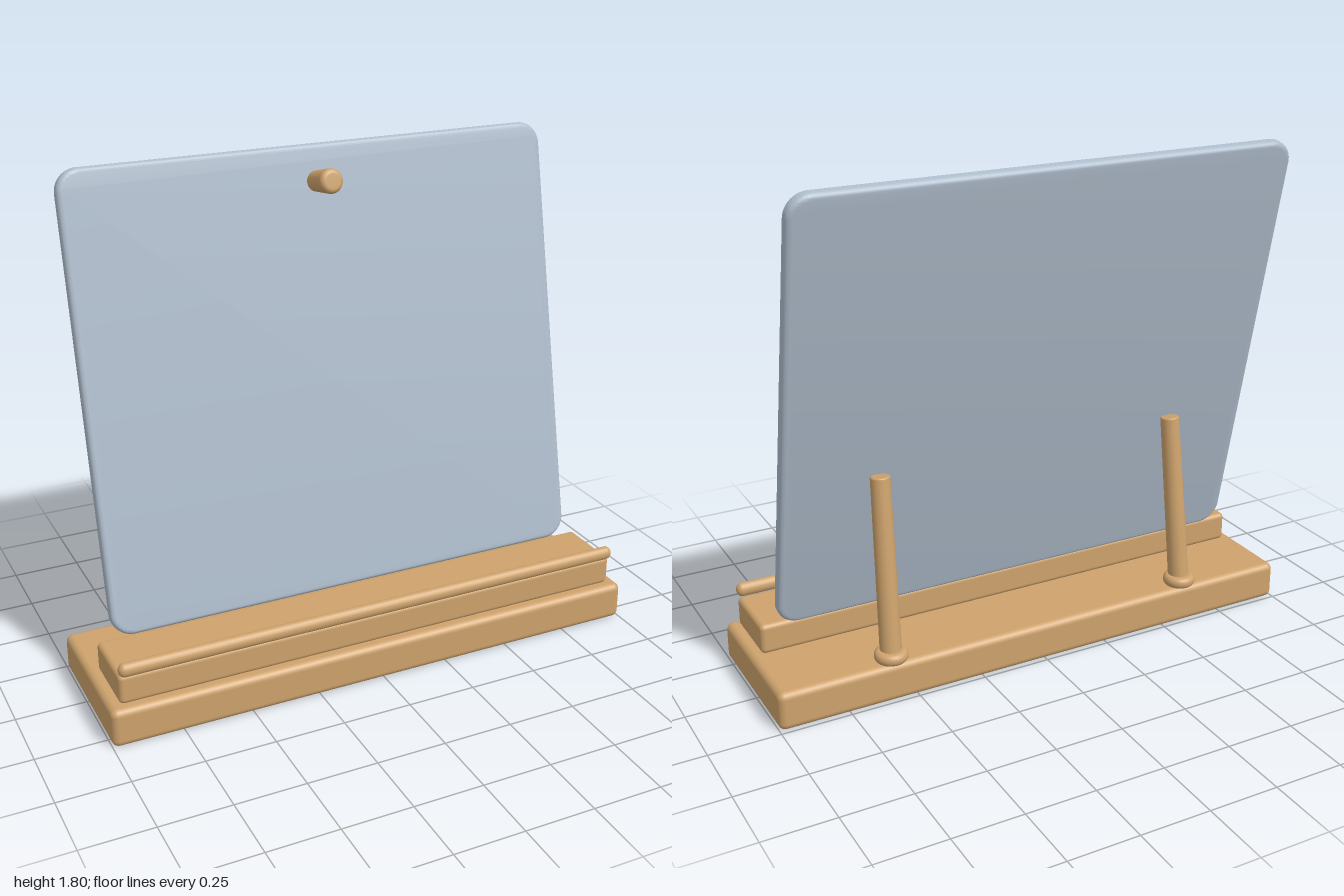
import * as THREE from 'three';
import { toCreasedNormals } from 'three/addons/utils/BufferGeometryUtils.js';
import { RoundedBoxGeometry } from 'three/addons/geometries/RoundedBoxGeometry.js';

const TILT = 0.209; // backward lean of the panel

export function createModel() {
  const wood = new THREE.MeshStandardMaterial({ name: 'wood', color: 0xcda26c });
  const slate = new THREE.MeshStandardMaterial({ name: 'slate', color: 0xaebccb });
  const model = new THREE.Group();
  model.name = 'boardStand';

  const add = (name, geometry, material, x, y, z, parent = model) => {
    const mesh = new THREE.Mesh(geometry, material);
    mesh.name = name;
    mesh.position.set(x, y, z);
    parent.add(mesh);
    return mesh;
  };

  // Solid of revolution with rounded rims: radius r0 at the bottom, r1 at the top
  const turned = (r0, r1, h, b0, b1) => {
    const pts = [new THREE.Vector2(0, 0)];
    for (let i = 0; i <= 5; i++) {
      const a = (i / 5) * Math.PI / 2;
      pts.push(new THREE.Vector2(r0 - b0 + b0 * Math.sin(a), b0 - b0 * Math.cos(a)));
    }
    for (let i = 0; i <= 5; i++) {
      const a = (i / 5) * Math.PI / 2;
      pts.push(new THREE.Vector2(r1 - b1 + b1 * Math.cos(a), h - b1 + b1 * Math.sin(a)));
    }
    pts.push(new THREE.Vector2(0, h));
    return new THREE.LatheGeometry(pts, 32);
  };

  // Stepped base
  add('base', new RoundedBoxGeometry(2, 0.14, 0.56, 4, 0.025), wood, 0, 0.07, 0.035);
  add('step', new RoundedBoxGeometry(1.92, 0.11, 0.25, 4, 0.018), wood, 0, 0.193, 0.155);

  // Retaining rail along the front of the step
  const rail = add('rail', new THREE.CapsuleGeometry(0.021, 1.878, 8, 20), wood, 0, 0.271, 0.28);
  rail.rotation.z = Math.PI / 2;
  rail.scale.x = 1.2;

  // Leaning panel with rounded corners and softened edges
  const board = new THREE.Group();
  board.name = 'board';
  board.position.set(0, 1.022, -0.13);
  board.rotation.x = -TILT;
  model.add(board);

  const bevel = 0.018, thick = 0.05;
  const w = 0.905 - bevel, h = 0.79 - bevel, r = 0.08 - bevel;
  const outline = new THREE.Shape();
  outline.absarc(w - r, h - r, r, 0, Math.PI / 2);
  outline.absarc(r - w, h - r, r, Math.PI / 2, Math.PI);
  outline.absarc(r - w, r - h, r, Math.PI, Math.PI * 1.5);
  outline.absarc(w - r, r - h, r, Math.PI * 1.5, Math.PI * 2);
  outline.closePath();
  const slab = new THREE.ExtrudeGeometry(outline, {
    depth: thick - 2 * bevel, bevelThickness: bevel, bevelSize: bevel,
    bevelSegments: 6, curveSegments: 10,
  });
  slab.translate(0, 0, bevel - thick / 2);
  add('panel', toCreasedNormals(slab, 0.35), slate, 0, 0, 0, board);

  // Peg standing square to the panel
  const peg = add('peg', turned(0.036, 0.043, 0.145, 0.004, 0.018), wood, 0, 0.662, 0.015, board);
  peg.rotation.x = Math.PI / 2;

  // Rear props with foot collars
  for (const side of [1, -1]) {
    const prop = new THREE.Group();
    prop.name = side > 0 ? 'leftProp' : 'rightProp';
    model.add(prop);
    const foot = new THREE.Vector3(side * 0.585, 0.14, -0.208);
    const lean = new THREE.Vector3(side * 0.57, 0.787, -0.128).sub(foot);
    const leg = add('leg', turned(0.038, 0.034, lean.length(), 0.004, 0.006), wood, ...foot, prop);
    leg.quaternion.setFromUnitVectors(new THREE.Vector3(0, 1, 0), lean.normalize());
    add('collar', turned(0.059, 0.059, 0.042, 0.019, 0.019), wood, foot.x, 0.142, foot.z, prop);
  }

  return model;
}
